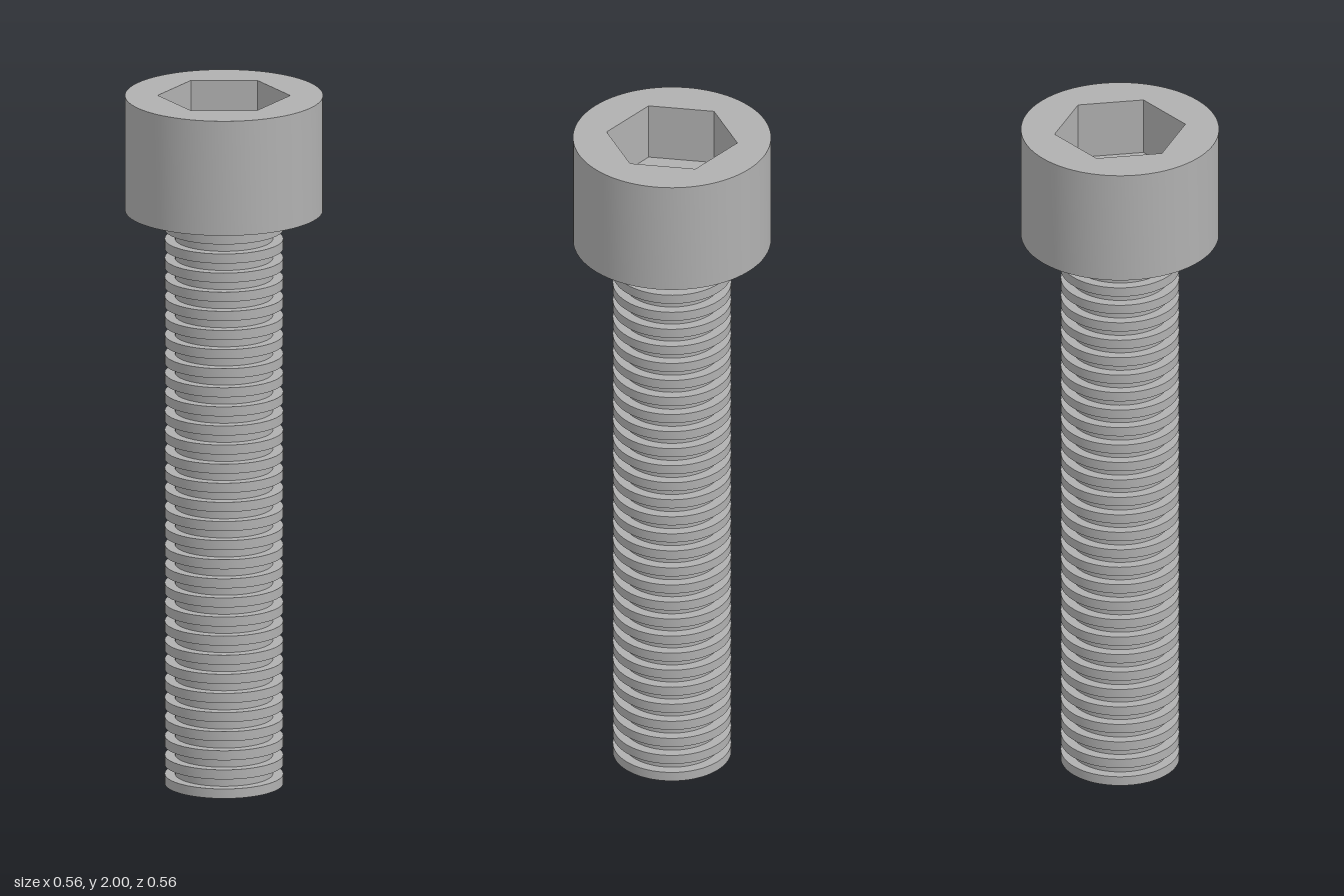
import * as THREE from 'three';
import { toCreasedNormals } from 'three/addons/utils/BufferGeometryUtils.js';

const TOP = 2, HEAD_BASE = 1.667, HEAD_R = 0.278;
const CORE_R = 0.1375, THREAD_R = 0.1665, THREADS = 30;
const HEX_R = 0.186, HEX_DEPTH = 0.167, SIDES = 72;

export function createModel() {
  const steel = new THREE.MeshStandardMaterial({ color: 0xb0b0b0 });
  steel.name = 'steel grey';
  const model = new THREE.Group();
  model.name = 'socketHeadBolt';

  const add = (name, geometry) => {
    const mesh = new THREE.Mesh(toCreasedNormals(geometry, 0.5), steel);
    mesh.name = name;
    model.add(mesh);
    return mesh;
  };
  const lathe = (pairs) =>
    new THREE.LatheGeometry(pairs.map(([r, y]) => new THREE.Vector2(r, y)), SIDES);

  // Shaft: square thread ridges, each half a pitch tall
  const pitch = HEAD_BASE / THREADS;
  const profile = [[0, 0]];
  for (let i = 0; i < THREADS; i++) {
    const y = i * pitch;
    profile.push([THREAD_R, y], [THREAD_R, y + pitch / 2],
      [CORE_R, y + pitch / 2], [CORE_R, y + pitch]);
  }
  add('threadedShaft', lathe(profile));

  // Head: underside and outer wall
  add('headWall', lathe([[CORE_R, HEAD_BASE], [HEAD_R, HEAD_BASE], [HEAD_R, TOP]]));

  // Head: top face with a hexagonal opening, corners on the z axis
  const face = new THREE.Shape().absarc(0, 0, HEAD_R, 0, Math.PI * 2);
  const hex = [];
  for (let i = 0; i < 6; i++) {
    const a = Math.PI / 2 - i * Math.PI / 3;
    hex.push(new THREE.Vector2(HEX_R * Math.cos(a), HEX_R * Math.sin(a)));
  }
  face.holes.push(new THREE.Path(hex));
  add('headTop', new THREE.ShapeGeometry(face, SIDES).rotateX(-Math.PI / 2).translate(0, TOP, 0));

  // Socket: inward-facing walls (mirrored to flip the faces) and floor
  add('socketWalls', new THREE.CylinderGeometry(HEX_R, HEX_R, HEX_DEPTH, 6, 1, true)
    .scale(-1, 1, 1).translate(0, TOP - HEX_DEPTH / 2, 0));
  add('socketFloor', new THREE.CircleGeometry(HEX_R, 6, Math.PI / 2)
    .rotateX(-Math.PI / 2).translate(0, TOP - HEX_DEPTH, 0));

  return model;
}
